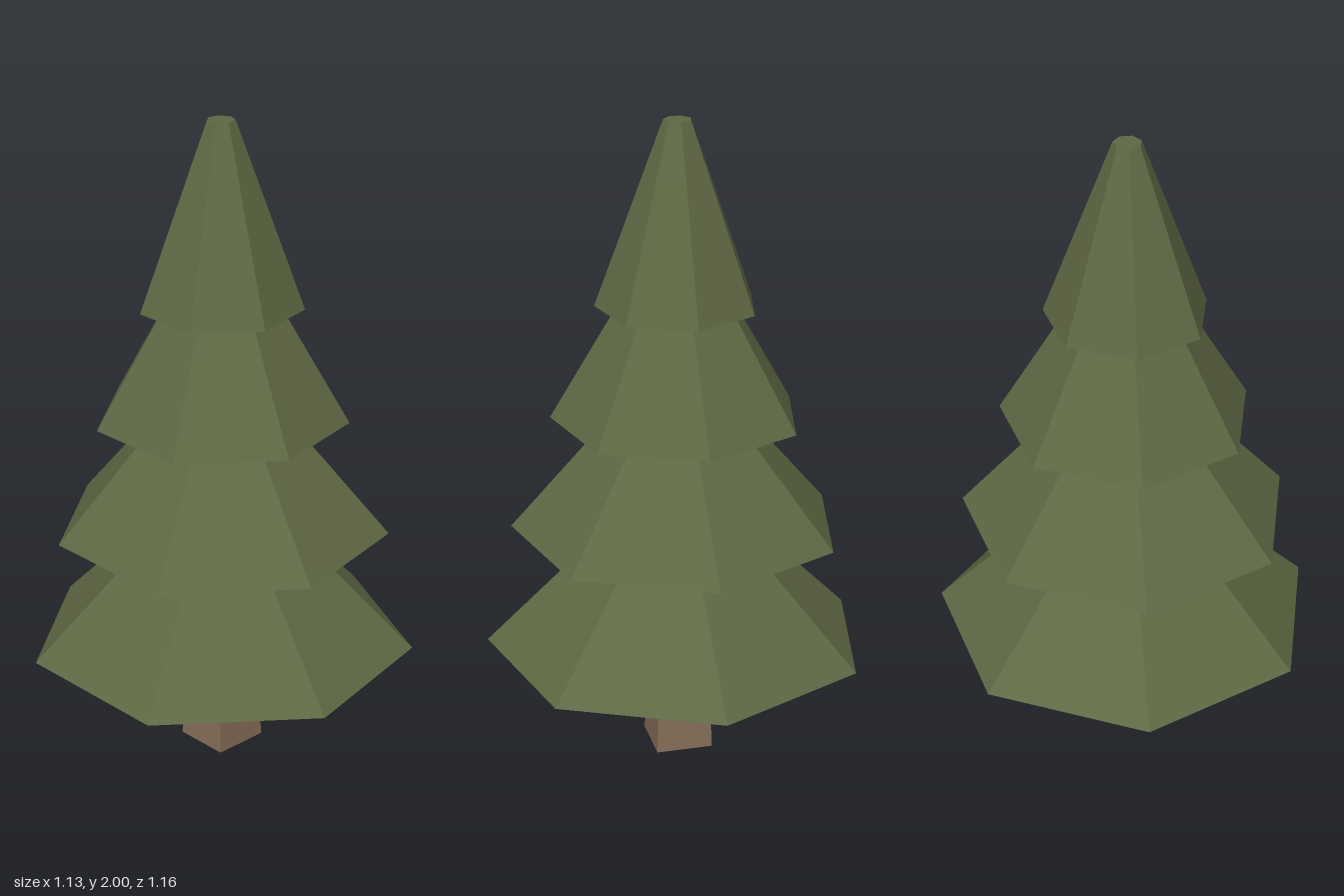
import * as THREE from 'three';

const CENTRE_X = -0.03;

// Upright faceted frustum standing between two heights
function frustum(name, y0, y1, r0, r1, sides, turn, material) {
  const geometry = new THREE.CylinderGeometry(r1, r0, y1 - y0, sides, 1, false, turn)
    .toNonIndexed();
  geometry.computeVertexNormals(); // one flat normal per facet
  const mesh = new THREE.Mesh(geometry, material);
  mesh.name = name;
  mesh.position.set(CENTRE_X, (y0 + y1) / 2, 0);
  return mesh;
}

export function createModel() {
  const tree = new THREE.Group();
  tree.name = 'pineTree';

  const foliage = new THREE.MeshStandardMaterial({ color: 0x5f6944 });
  foliage.name = 'foliageGreen';
  const bark = new THREE.MeshStandardMaterial({ color: 0x866f59 });
  bark.name = 'barkBrown';

  // Square trunk, tapering slightly and ending inside the lowest tier
  tree.add(frustum('trunk', 0, 0.4, 0.088 * Math.SQRT2, 0.078 * Math.SQRT2, 4, Math.PI / 4, bark));

  // Seven-sided foliage tiers: bottom y, top y, bottom radius, top radius.
  // Each top is tucked just inside the tier above.
  const tiers = [
    [0.35, 0.755, 0.593, 0.192],
    [0.735, 1.11, 0.51, 0.187],
    [1.09, 1.46, 0.384, 0.168],
    [1.44, 2, 0.247, 0.042],
  ];
  tiers.forEach(([y0, y1, r0, r1], i) => {
    tree.add(frustum(`foliageTier${i + 1}`, y0, y1, r0, r1, 7, Math.PI / 2, foliage));
  });

  return tree;
}
